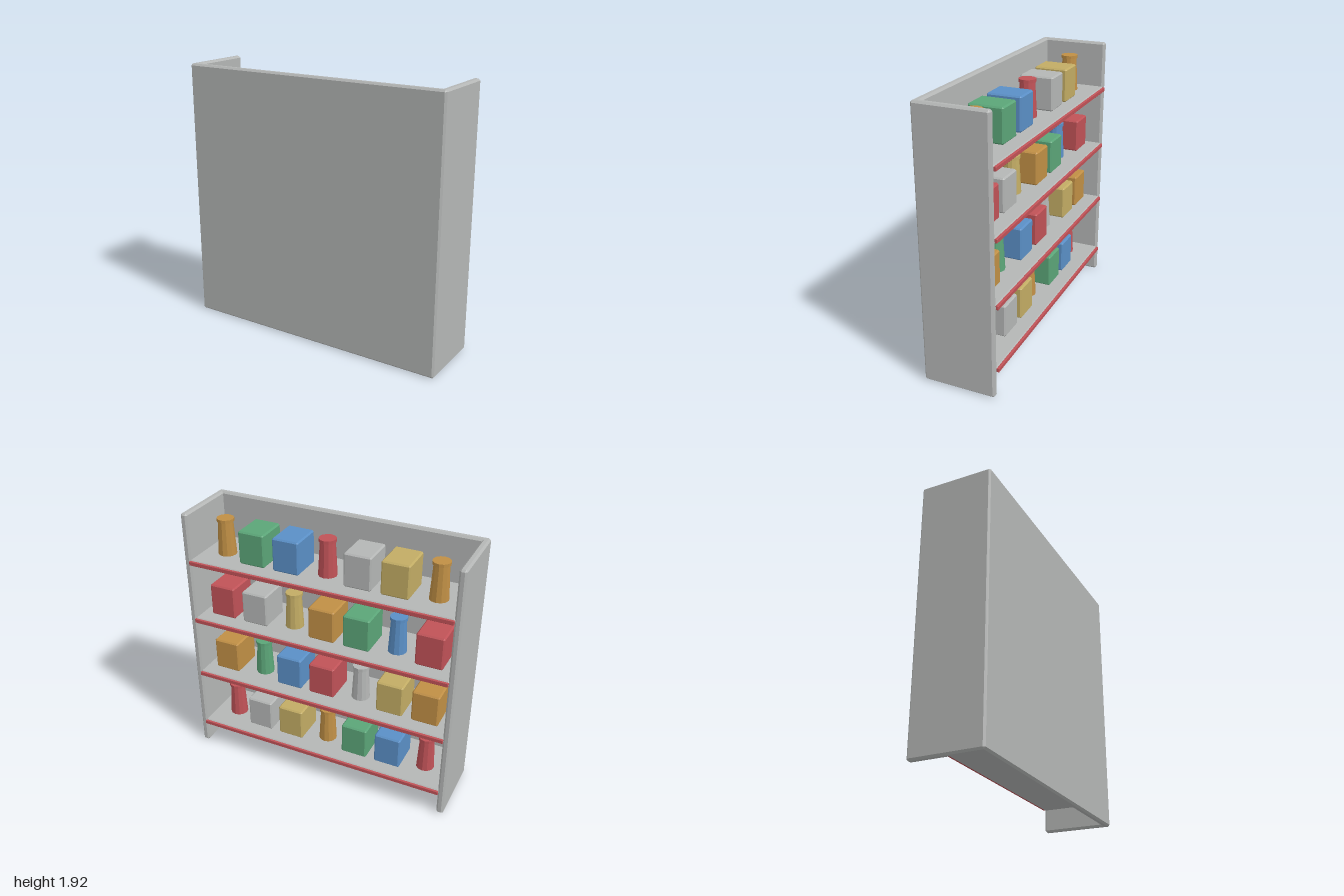
import * as THREE from 'three';
import { ConvexGeometry } from 'three/addons/geometries/ConvexGeometry.js';

const paint = (name, color) => Object.assign(new THREE.MeshStandardMaterial({ color }), { name });

// Box with chamfered edges: three points at each corner
function chamferBox(w, h, d, c) {
  const points = [];
  for (const sx of [-1, 1]) for (const sy of [-1, 1]) for (const sz of [-1, 1]) {
    const x = w / 2, y = h / 2, z = d / 2;
    points.push(
      new THREE.Vector3(sx * x, sy * (y - c), sz * (z - c)),
      new THREE.Vector3(sx * (x - c), sy * y, sz * (z - c)),
      new THREE.Vector3(sx * (x - c), sy * (y - c), sz * z));
  }
  return new ConvexGeometry(points);
}

// Faceted can with a slightly wider lid
function canGeometry() {
  const profile = [[0, 0], [0.066, 0], [0.053, 0.243], [0.061, 0.243], [0.061, 0.265], [0, 0.265]]
    .map(([r, y]) => new THREE.Vector2(r, y));
  const geometry = new THREE.LatheGeometry(profile, 12).toNonIndexed();
  geometry.computeVertexNormals();
  return geometry;
}

export function createModel() {
  const model = new THREE.Group();
  model.name = 'stockedShelf';

  const grey = paint('grey', 0xb4b6b5);
  const red = paint('red', 0xc05257);
  const blue = paint('blue', 0x5a8fc6);
  const green = paint('green', 0x5ba578);
  const orange = paint('orange', 0xc08f45);
  const yellow = paint('yellow', 0xc2ac64);
  const goodsColours = [red, blue, green, orange, yellow, grey];

  function add(name, geometry, material, x, y, z, parent = model) {
    const mesh = new THREE.Mesh(geometry, material);
    mesh.name = name;
    mesh.position.set(x, y, z);
    parent.add(mesh);
  }

  // Cabinet: closed panel at +z, open towards -z
  const height = 1.92;
  add('closedPanel', chamferBox(2, height, 0.05, 0.013), grey, 0, height / 2, 0.24);
  const sideGeometry = chamferBox(0.05, height, 0.51, 0.013);
  for (const side of [-1, 1]) {
    add(side < 0 ? 'rightPanel' : 'leftPanel', sideGeometry, grey, side * 0.975, height / 2, 0.005);
  }

  const shelfGeometry = chamferBox(1.91, 0.04, 0.48, 0.008);
  const stripGeometry = chamferBox(1.91, 0.03, 0.018, 0.003);
  const boxGeometry = chamferBox(0.195, 0.24, 0.245, 0.01);
  const can = canGeometry();

  // Four shelves, each with a red edge strip and seven goods
  for (let row = 0; row < 4; row++) {
    const y = 0.19 + row * 0.458;
    const shelf = new THREE.Group();
    shelf.name = 'shelf' + (row + 1);
    shelf.position.y = y;
    model.add(shelf);
    add('shelfBoard', shelfGeometry, grey, 0, 0, -0.01, shelf);
    add('edgeStrip', stripGeometry, red, 0, 0, -0.256, shelf);

    for (let i = 0; i < 7; i++) {
      const x = (i - 3) * 0.26;
      const colour = goodsColours[(i + 3 * row) % 6];
      if ((i + row) % 3 === 0) add('can', can, colour, x, 0.02, -0.035, shelf);
      else add('carton', boxGeometry, colour, x, 0.14, -0.028, shelf);
    }
  }
  return model;
}
